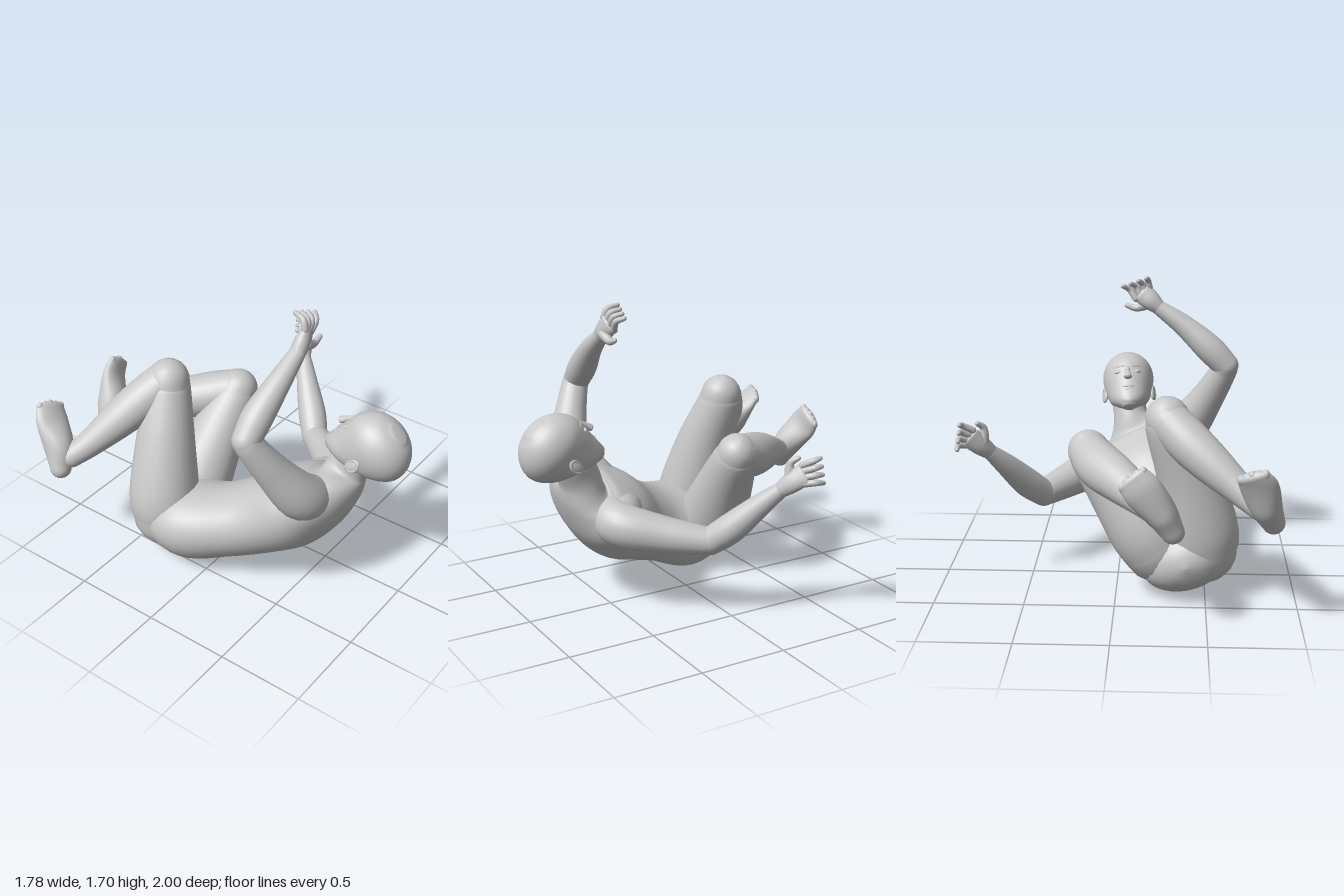
import * as THREE from 'three';

const skin = new THREE.MeshStandardMaterial({ color: 0xc8c8c8 });
skin.name = 'plain grey';
const V = (a) => new THREE.Vector3(...a);
const ACROSS = [0.92, -0.37, -0.13]; // line through the shoulders and hips
const SHIN_SIDE = [-0.72, 0.58, 0.37];

// Smooth closed skin over elliptical sections [x, y, z, half width, half depth]
function loft(parent, name, stations, { side = ACROSS, axis = null, caps = [1, 1], sides = 24, steps = 6 } = {}) {
  const path = new THREE.CatmullRomCurve3(stations.map((s) => V(s)), false, 'catmullrom');
  const size = new THREE.CatmullRomCurve3(stations.map((s) => V([s[3], s[4] ?? s[3], 0])), false, 'catmullrom');
  const n = (stations.length - 1) * steps;
  const rings = [];
  const ring = (t, push, shrink) => {
    const tan = axis ? V(axis) : path.getTangent(t);
    const w = V(side).addScaledVector(tan, -V(side).dot(tan)).normalize();
    const r = size.getPoint(t);
    const c = path.getPoint(t).addScaledVector(tan, push * Math.min(r.x, r.y));
    rings.push({ c, w: w.clone().multiplyScalar(r.x * shrink), d: tan.clone().cross(w).multiplyScalar(r.y * shrink) });
  };
  const K = 5;
  for (let k = 0; k < K; k++) {
    const p = (k / K) * Math.PI / 2;
    ring(0, -Math.cos(p) * caps[0], Math.sin(p));
  }
  for (let i = 0; i <= n; i++) ring(i / n, 0, 1);
  for (let k = K - 1; k >= 0; k--) {
    const p = (k / K) * Math.PI / 2;
    ring(1, Math.cos(p) * caps[1], Math.sin(p));
  }
  const pos = [], index = [];
  rings.forEach(({ c, w, d }, i) => {
    for (let j = 0; j < sides; j++) {
      const u = (j / sides) * Math.PI * 2;
      pos.push(...c.clone().addScaledVector(w, Math.cos(u)).addScaledVector(d, Math.sin(u)).toArray());
      if (i === rings.length - 1) continue;
      const a = i * sides + j, b = i * sides + (j + 1) % sides;
      index.push(a, b, b + sides, a, b + sides, a + sides);
    }
  });
  const g = new THREE.BufferGeometry();
  g.setAttribute('position', new THREE.Float32BufferAttribute(pos, 3));
  g.setIndex(index);
  g.computeVertexNormals();
  const mesh = new THREE.Mesh(g, skin);
  mesh.name = name;
  parent.add(mesh);
}

function ball(parent, name, at, scale) {
  const m = new THREE.Mesh(new THREE.SphereGeometry(1, 20, 14), skin);
  m.name = name;
  m.position.set(...at);
  m.scale.set(...scale);
  parent.add(m);
  return m;
}

// Palm, four curled fingers spread between two end knuckles, and a thumb
function hand(parent, name, { wrist, knuckles, tips, bulge, thumb }) {
  const g = new THREE.Group();
  g.name = name;
  const [ka, kb] = knuckles.map(V), [ta, tb] = tips.map(V), w = V(wrist);
  const side = kb.clone().sub(ka).normalize().toArray();
  const mid = ka.clone().lerp(kb, 0.5);
  loft(g, 'palm', [
    [...w.toArray(), 0.043, 0.043],
    [...w.clone().lerp(mid, 0.5).toArray(), 0.058, 0.044],
    [...mid.toArray(), 0.062, 0.028],
  ], { side, caps: [0.6, 0.7], sides: 16 });
  for (let i = 0; i < 4; i++) {
    const a = ka.clone().lerp(kb, i / 3), b = ta.clone().lerp(tb, i / 3);
    const m = a.clone().lerp(b, 0.5).add(V(bulge));
    loft(g, 'finger', [[...a.toArray(), 0.02], [...m.toArray(), 0.018], [...b.toArray(), 0.013]], { side, sides: 10, steps: 4 });
  }
  loft(g, 'thumb', thumb.map((p, i) => [...p, [0.036, 0.022, 0.014][i]]), { side, sides: 10, steps: 4 });
  parent.add(g);
}

// Heel-to-toe loft with five small toes set into its end
function foot(parent, name, side, stations) {
  const g = new THREE.Group();
  g.name = name;
  loft(g, 'sole and instep', stations, { side, caps: [1, 0.9] });
  const end = V(stations.at(-1));
  const ahead = end.clone().sub(V(stations.at(-2))).normalize();
  const across = V(side).addScaledVector(ahead, -V(side).dot(ahead)).normalize();
  for (let i = -2; i <= 2; i++) {
    const p = end.clone().addScaledVector(across, i * 0.033).addScaledVector(ahead, 0.014 - Math.abs(i) * 0.007);
    ball(g, 'toe', p.toArray(), [0.02, 0.025, 0.02]);
  }
  parent.add(g);
}

function head(parent) {
  const g = new THREE.Group();
  g.name = 'head';
  // Skull by level sections: y up the face, z out of it
  loft(g, 'skull', [
    [0, -0.225, 0.12, 0.045, 0.045], [0, -0.195, 0.093, 0.08, 0.085], [0, -0.15, 0.052, 0.113, 0.128],
    [0, -0.08, 0.005, 0.136, 0.178], [0, 0, -0.018, 0.154, 0.202], [0, 0.07, -0.02, 0.157, 0.198],
    [0, 0.13, -0.02, 0.136, 0.168], [0, 0.175, -0.02, 0.097, 0.12], [0, 0.2, -0.02, 0.052, 0.066],
  ], { side: [1, 0, 0], axis: [0, 1, 0], caps: [0.3, 0.18], sides: 36 });
  loft(g, 'nose', [[0, 0.015, 0.172, 0.014, 0.014], [0, -0.025, 0.19, 0.017, 0.018], [0, -0.062, 0.203, 0.027, 0.02]],
    { side: [1, 0, 0], caps: [1, 0.6], sides: 14 });
  ball(g, 'upper lip', [0, -0.116, 0.17], [0.038, 0.01, 0.016]);
  ball(g, 'lower lip', [0, -0.135, 0.167], [0.032, 0.011, 0.016]);
  ball(g, 'chin', [0, -0.195, 0.15], [0.045, 0.035, 0.03]);
  for (const s of [-1, 1]) {
    ball(g, 'eye', [s * 0.056, -0.008, 0.161], [0.024, 0.013, 0.016]);
    loft(g, 'brow', [[s * 0.025, 0.026, 0.174, 0.01], [s * 0.06, 0.032, 0.159, 0.011], [s * 0.095, 0.022, 0.128, 0.008]],
      { side: [0, 1, 0], sides: 10 });
    const ear = ball(g, 'ear', [s * 0.148, -0.065, -0.02], [0.014, 0.05, 0.032]);
    ear.rotation.set(-0.2, -s * 0.3, 0);
    const rim = new THREE.Mesh(new THREE.TorusGeometry(0.028, 0.008, 8, 20), skin);
    rim.name = 'ear rim';
    rim.position.set(s * 0.154, -0.06, -0.024);
    rim.rotation.y = s * (Math.PI / 2 - 0.3);
    rim.scale.y = 1.4;
    g.add(rim);
  }
  // Tipped back, face turned up and away
  const x = V([-0.997, 0.06, 0.04]).normalize();
  const z = V([0, 0.68, -0.73]);
  z.addScaledVector(x, -z.dot(x)).normalize();
  g.quaternion.setFromRotationMatrix(new THREE.Matrix4().makeBasis(x, z.clone().cross(x), z));
  g.position.set(-0.03, 0.953, 0.78);
  parent.add(g);
}

export function createModel() {
  const body = new THREE.Group();
  body.name = 'curled figure';

  // Trunk from seat to neck
  loft(body, 'torso', [
    [-0.39, 0.235, -0.33, 0.265, 0.19], [-0.39, 0.24, -0.15, 0.315, 0.23], [-0.35, 0.30, 0.05, 0.285, 0.212],
    [-0.275, 0.38, 0.24, 0.288, 0.22], [-0.195, 0.482, 0.41, 0.335, 0.236], [-0.14, 0.595, 0.555, 0.33, 0.19],
    [-0.10, 0.67, 0.625, 0.235, 0.14], [-0.055, 0.76, 0.652, 0.117, 0.12], [-0.035, 0.86, 0.695, 0.102, 0.115],
  ], { sides: 40, caps: [1, 0.5] });
  loft(body, 'raised pectoral', [[-0.22, 0.57, 0.36, 0.09], [-0.29, 0.665, 0.43, 0.108], [-0.35, 0.735, 0.5, 0.115]]);
  loft(body, 'lowered pectoral', [[-0.08, 0.54, 0.34, 0.09], [0.02, 0.545, 0.42, 0.108], [0.1, 0.525, 0.48, 0.115]]);
  head(body);

  // Raised arm
  loft(body, 'raised upper arm', [[-0.26, 0.66, 0.585, 0.12], [-0.395, 0.75, 0.565, 0.13], [-0.515, 0.94, 0.485, 0.1],
    [-0.6, 1.11, 0.41, 0.08], [-0.618, 1.165, 0.385, 0.076]]);
  loft(body, 'raised forearm', [[-0.618, 1.165, 0.385, 0.076], [-0.52, 1.265, 0.39, 0.083], [-0.37, 1.395, 0.41, 0.064],
    [-0.22, 1.5, 0.42, 0.044]], { side: [0.6, -0.75, 0.25] });
  hand(body, 'raised hand', {
    wrist: [-0.22, 1.5, 0.42],
    knuckles: [[-0.165, 1.615, 0.425], [-0.085, 1.555, 0.405]],
    tips: [[-0.145, 1.68, 0.35], [-0.01, 1.63, 0.38]],
    bulge: [0, 0.015, 0.02],
    thumb: [[-0.16, 1.525, 0.43], [-0.09, 1.495, 0.43], [-0.03, 1.51, 0.43]],
  });

  // Arm stretched out to the side
  loft(body, 'lowered upper arm', [[-0.02, 0.555, 0.52, 0.11], [0.14, 0.515, 0.495, 0.125], [0.29, 0.475, 0.32, 0.105],
    [0.41, 0.452, 0.16, 0.084], [0.445, 0.446, 0.11, 0.077]], { side: [0, 1, 0] });
  loft(body, 'lowered forearm', [[0.445, 0.446, 0.11, 0.077], [0.53, 0.535, 0.03, 0.083], [0.63, 0.67, -0.08, 0.064],
    [0.71, 0.77, -0.16, 0.044]], { side: [0.4, -0.9, 0.2] });
  hand(body, 'lowered hand', {
    wrist: [0.71, 0.77, -0.16],
    knuckles: [[0.795, 0.92, -0.24], [0.83, 0.83, -0.23]],
    tips: [[0.855, 0.965, -0.31], [0.87, 0.83, -0.325]],
    bulge: [0.022, 0.01, 0.005],
    thumb: [[0.745, 0.84, -0.2], [0.74, 0.92, -0.2], [0.77, 0.955, -0.23]],
  });

  // Leg with the high knee
  loft(body, 'high thigh', [[-0.485, 0.27, -0.3, 0.19, 0.195], [-0.468, 0.42, -0.32, 0.205, 0.2], [-0.39, 0.72, -0.36, 0.168],
    [-0.3, 0.97, -0.405, 0.134], [-0.28, 1.045, -0.412, 0.12]]);
  loft(body, 'high shin', [[-0.28, 1.04, -0.42, 0.116], [-0.4, 0.935, -0.505, 0.12], [-0.52, 0.84, -0.58, 0.108],
    [-0.67, 0.725, -0.67, 0.08], [-0.77, 0.655, -0.74, 0.066]], { side: SHIN_SIDE });
  foot(body, 'outer foot', [-0.95, -0.25, 0.1], [[-0.83, 0.595, -0.775, 0.062, 0.062], [-0.785, 0.7, -0.82, 0.085, 0.088],
    [-0.745, 0.82, -0.895, 0.1, 0.05], [-0.71, 0.885, -0.935, 0.085, 0.032]]);

  // Leg with the low knee
  loft(body, 'low thigh', [[-0.23, 0.27, -0.29, 0.195, 0.195], [-0.145, 0.39, -0.295, 0.195, 0.195], [0, 0.6, -0.275, 0.16],
    [0.12, 0.765, -0.255, 0.13], [0.152, 0.815, -0.25, 0.116]]);
  loft(body, 'low shin', [[0.152, 0.81, -0.26, 0.114], [0.08, 0.765, -0.38, 0.13], [-0.03, 0.73, -0.53, 0.118],
    [-0.18, 0.67, -0.73, 0.08], [-0.265, 0.63, -0.835, 0.066]], { side: SHIN_SIDE });
  foot(body, 'inner foot', [-0.84, 0.53, 0.08], [[-0.315, 0.572, -0.88, 0.062, 0.062], [-0.255, 0.675, -0.89, 0.085, 0.088],
    [-0.17, 0.80, -0.942, 0.1, 0.05], [-0.115, 0.87, -0.95, 0.088, 0.032]]);

  return body;
}
